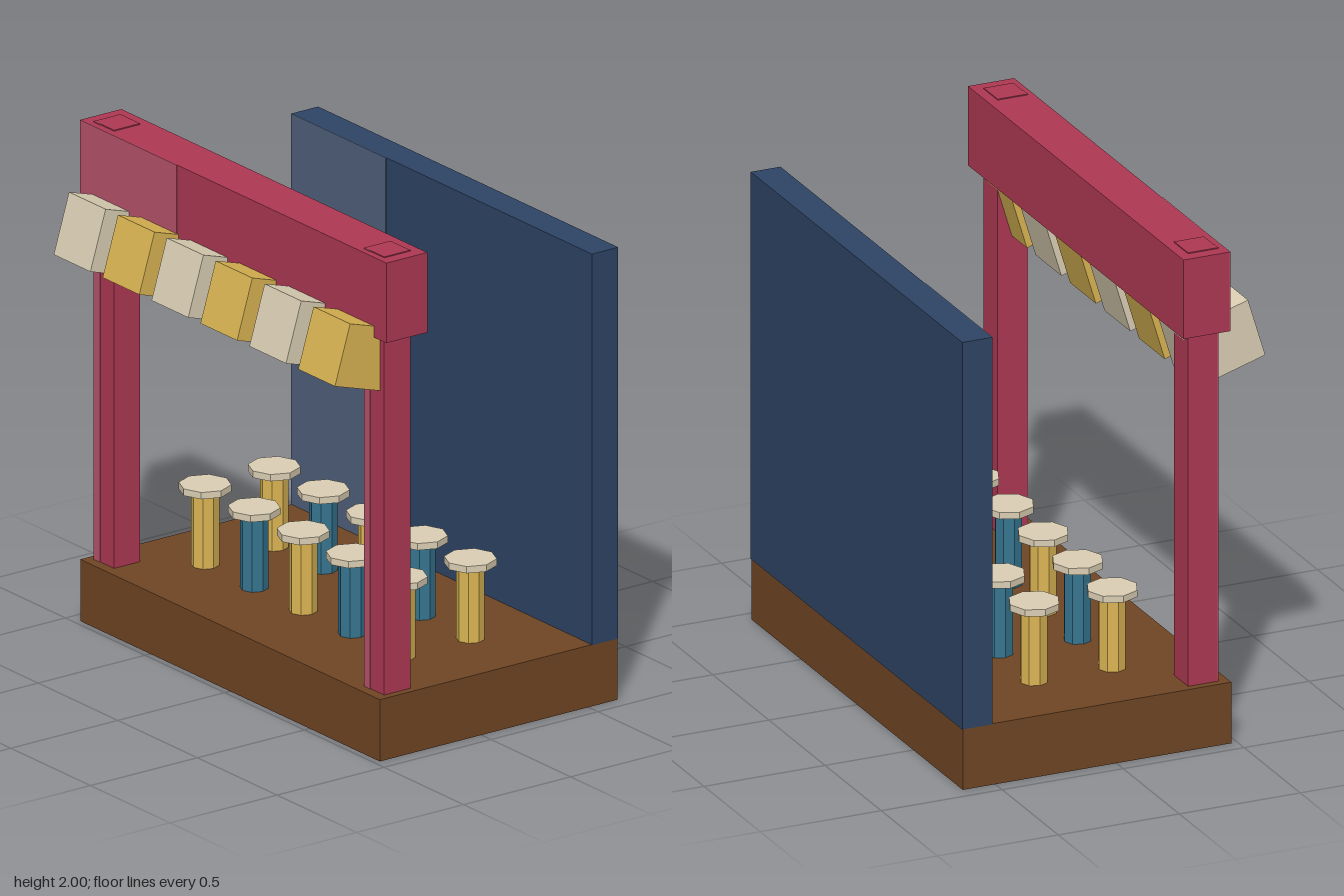
import * as THREE from 'three';

const mat = (name, color) => {
  const m = new THREE.MeshStandardMaterial({ color });
  m.name = name;
  return m;
};

export function createModel() {
  const root = new THREE.Group();
  root.name = 'gameStall';

  const red = mat('red', 0xae3853);
  const paleRed = mat('pale red', 0xb8546b);
  const blue = mat('navy', 0x2e4465);
  const paleBlue = mat('pale navy', 0x50607a);
  const brown = mat('brown wood', 0x704524);
  const cream = mat('cream', 0xdbcfb4);
  const gold = mat('gold', 0xdbb553);
  const teal = mat('teal', 0x357590);

  const add = (name, geometry, material, x, y, z) => {
    const mesh = new THREE.Mesh(geometry, material);
    mesh.name = name;
    mesh.position.set(x, y, z);
    root.add(mesh);
    return mesh;
  };

  // Box given by its minimum and maximum corners
  const box = (name, material, [x0, y0, z0], [x1, y1, z1]) =>
    add(name, new THREE.BoxGeometry(x1 - x0, y1 - y0, z1 - z0), material,
      (x0 + x1) / 2, (y0 + y1) / 2, (z0 + z1) / 2);

  // Box whose front has a paler band over its -x third
  const bandedBox = (name, material, pale, min, max) => {
    box(name, material, min, max);
    const bandEnd = min[0] + (max[0] - min[0]) * 0.315;
    box(name + 'Band', pale, [min[0], min[1], max[2]], [bandEnd, max[1], max[2] + 0.003]);
  };

  // Floor, back wall, pillars and header beam
  box('base', brown, [-0.94, 0, -0.635], [0.94, 0.247, 0.475]);
  bandedBox('backWall', blue, paleBlue, [-0.942, 0.245, -0.638], [0.942, 1.81, -0.515]);
  for (const [name, x] of [['rightPillar', -0.848], ['leftPillar', 0.848]])
    bandedBox(name, red, paleRed, [x - 0.062, 0.245, 0.31], [x + 0.062, 2, 0.432]);
  bandedBox('header', red, paleRed, [-0.96, 1.676, 0.268], [0.96, 1.996, 0.459]);

  // Row of tilted awning blocks in alternating colours
  const blockGeometry = new THREE.BoxGeometry(0.23, 0.245, 0.285);
  for (let i = 0; i < 6; i++) {
    const block = add('awningBlock', blockGeometry, i % 2 ? gold : cream,
      (i - 2.5) * 0.307, 1.596, 0.47);
    block.rotation.x = -0.295;
  }

  // Two rows of posts, each with a plate floating just above it
  const postGeometry = new THREE.CylinderGeometry(0.054, 0.054, 0.285, 8).toNonIndexed();
  const plateGeometry = new THREE.CylinderGeometry(0.1, 0.1, 0.027, 8).toNonIndexed();
  postGeometry.computeVertexNormals();
  plateGeometry.computeVertexNormals();
  for (const z of [-0.19, 0.133])
    for (let i = 0; i < 5; i++) {
      const x = (i - 2) * 0.308;
      add('post', postGeometry, i % 2 ? teal : gold, x, 0.3875, z);
      add('plate', plateGeometry, cream, x, 0.558, z);
    }

  return root;
}
